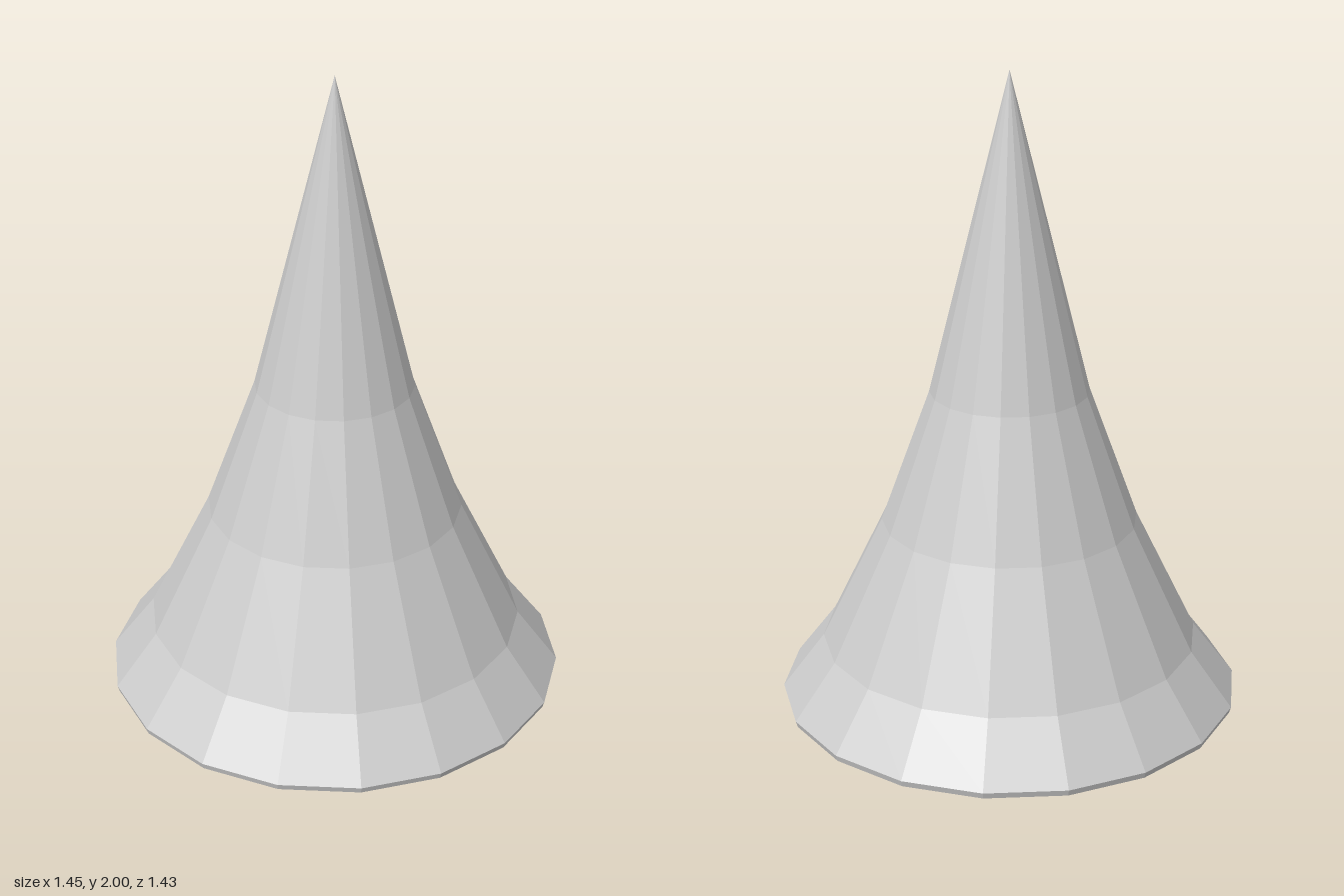
import * as THREE from 'three';

export function createModel() {
  const model = new THREE.Group();
  const material = new THREE.MeshStandardMaterial({ color: 0xcccccc, flatShading: true });

  // Flared spire with 18 sides: closed base, thin rim, then four tapering bands
  const profile = [
    [0, 0], [0.718, 0], [0.724, 0.02], [0.592, 0.195], [0.4, 0.59], [0.247, 1.01], [0, 2],
  ].map(([radius, y]) => new THREE.Vector2(radius, y));

  // Start the sweep on the x axis so a corner points to each side
  const spire = new THREE.Mesh(new THREE.LatheGeometry(profile, 18, Math.PI / 2), material);
  spire.name = 'flaredSpire';
  model.add(spire);
  return model;
}
